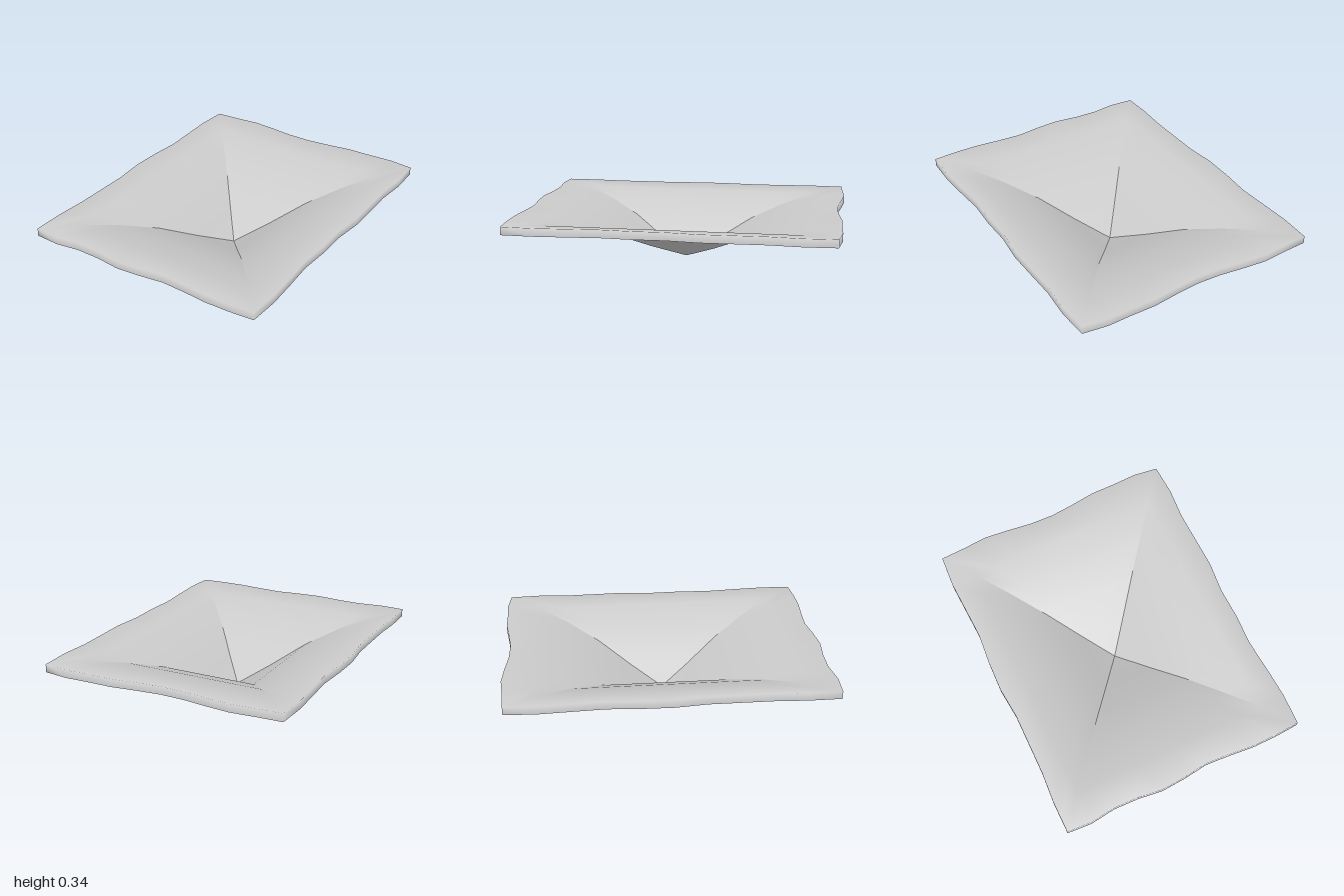
import * as THREE from 'three';

const HALF_X = 0.775, HALF_Z = 0.98, COLS = 10;
// height of each square ring from the pit bottom to the rim, then the skirt's lower edge
const HEIGHTS = [0, 0.092, 0.195, 0.265, 0.314, 0.335, 0.285];
const RIM = 5;
const SMOOTH_FROM = 4; // corner creases soften from this ring outwards

// ragged rim: distance from the centre along each side, anticlockwise from front left
const SIDES = [
  { out: [0, 1], along: [1, 0], rim: [0.98, 0.99, 0.97, 0.975, 0.995, 0.985, 0.965, 0.975, 0.99, 0.99, 0.98] },
  { out: [1, 0], along: [0, -1], rim: [0.775, 0.782, 0.77, 0.755, 0.765, 0.76, 0.78, 0.775, 0.77, 0.785, 0.775] },
  { out: [0, -1], along: [-1, 0], rim: [0.98, 1, 0.995, 0.995, 0.975, 0.96, 0.965, 0.985, 1, 0.987, 0.98] },
  { out: [-1, 0], along: [0, 1], rim: [0.775, 0.785, 0.775, 0.765, 0.78, 0.785, 0.765, 0.765, 0.765, 0.777, 0.775] },
];

function pitGeometry() {
  const positions = [], index = [], shared = new Map();

  // returns a vertex number, sharing vertices inside a side and, further out, between sides
  function vertex(s, ring, col) {
    const { out, along, rim } = SIDES[s];
    const u = (col / COLS) * 2 - 1;
    const t = Math.min(ring, RIM) / RIM;
    const depth = ring >= RIM ? rim[col] : t * (out[0] ? HALF_X : HALF_Z);
    const across = u * t * (out[0] ? HALF_Z : HALF_X);
    const x = out[0] * depth + along[0] * across;
    const z = out[1] * depth + along[1] * across;
    const key = [Math.round(x * 1e4), Math.round(z * 1e4), ring, ring >= SMOOTH_FROM ? 'all' : s].join();
    if (!shared.has(key)) {
      shared.set(key, positions.length / 3);
      positions.push(x, HEIGHTS[ring], z);
    }
    return shared.get(key);
  }

  for (let s = 0; s < 4; s++) {
    for (let ring = 0; ring < HEIGHTS.length - 1; ring++) {
      for (let c = 0; c < COLS; c++) {
        const a = vertex(s, ring, c), b = vertex(s, ring + 1, c);
        const d = vertex(s, ring + 1, c + 1), e = vertex(s, ring, c + 1);
        index.push(a, b, d);
        if (ring > 0) index.push(a, d, e);
      }
    }
  }
  const geometry = new THREE.BufferGeometry();
  geometry.setAttribute('position', new THREE.Float32BufferAttribute(positions, 3));
  geometry.setIndex(index);
  geometry.computeVertexNormals();
  return geometry;
}

export function createModel() {
  const group = new THREE.Group();
  group.name = 'pit';
  // sunken four-sided pit with a ragged rim and short skirt, one open sheet
  const material = new THREE.MeshStandardMaterial({ color: 0xcccccc, side: THREE.DoubleSide });
  const pit = new THREE.Mesh(pitGeometry(), material);
  pit.name = 'pitSurface';
  group.add(pit);
  return group;
}
